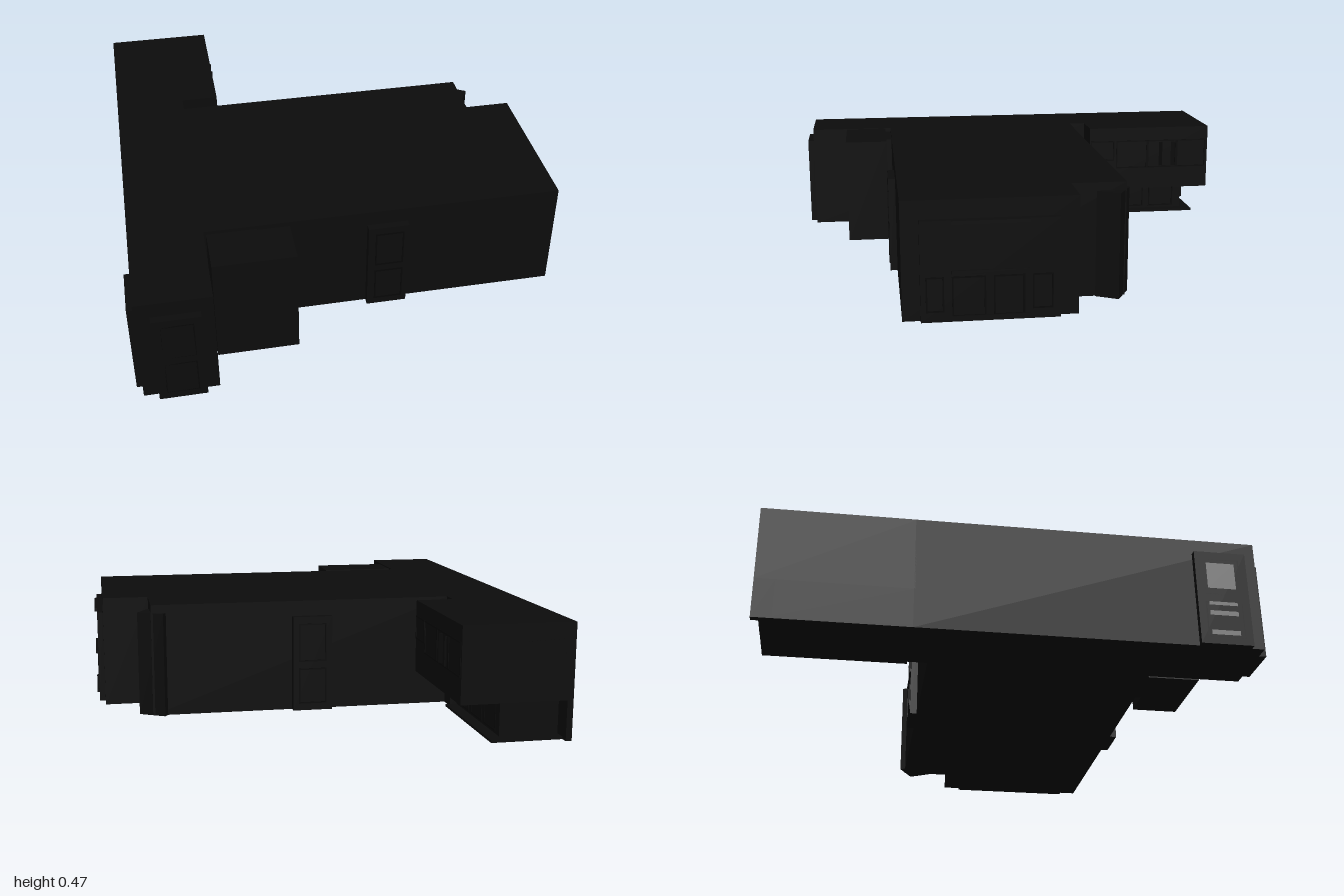
import * as THREE from 'three';

export function createModel() {
  const model = new THREE.Group();
  const mat = (name, color) => {
    const m = new THREE.MeshStandardMaterial({ color });
    m.name = name;
    return m;
  };
  const wall = mat('blackWall', 0x0c0c0c);
  const trim = mat('darkTrim', 0x060606);
  const glass = mat('greyGlass', 0x7c7c7c);

  // Box given by its minimum and maximum on each axis
  function block(name, x0, x1, y0, y1, z0, z1, material = wall) {
    const mesh = new THREE.Mesh(new THREE.BoxGeometry(x1 - x0, y1 - y0, z1 - z0), material);
    mesh.position.set((x0 + x1) / 2, (y0 + y1) / 2, (z0 + z1) / 2);
    mesh.name = name;
    model.add(mesh);
    return mesh;
  }

  // Thin rectangular frame; u runs along the wall, side is the facing direction
  function frame(name, axis, plane, side, u0, u1, y0, y1, material = trim) {
    const w = u1 - u0, h = y1 - y0, t = 0.006;
    const s = new THREE.Shape();
    s.moveTo(-w / 2, -h / 2).lineTo(w / 2, -h / 2).lineTo(w / 2, h / 2).lineTo(-w / 2, h / 2);
    const hole = new THREE.Path();
    hole.moveTo(-w / 2 + t, -h / 2 + t).lineTo(-w / 2 + t, h / 2 - t)
      .lineTo(w / 2 - t, h / 2 - t).lineTo(w / 2 - t, -h / 2 + t);
    s.holes.push(hole);
    const mesh = new THREE.Mesh(new THREE.ExtrudeGeometry(s, { depth: 0.003, bevelEnabled: false }), material);
    const u = (u0 + u1) / 2, y = (y0 + y1) / 2;
    if (axis === 'x') {
      mesh.position.set(plane, y, u);
      mesh.rotation.y = side * Math.PI / 2;
    } else {
      mesh.position.set(u, y, plane);
      mesh.rotation.y = side > 0 ? 0 : Math.PI;
    }
    mesh.name = name;
    model.add(mesh);
  }

  const H = 0.475;

  // Main masses, stepped at the back corner
  block('longWing', -0.9, -0.6, 0, H, -0.4, 0.97);
  block('mainHall', -0.6, 0.69, 0, H, -0.32, 0.59);
  block('sideHall', 0.69, 0.885, 0, H, -0.095, 0.59);

  // Back wing: wide upper storey over a recessed ground floor
  block('backUpperStorey', -0.9, -0.44, 0.165, H, -1, -0.395);
  block('backLowerStorey', -0.9, -0.63, 0.01, 0.165, -0.92, -0.4);
  block('backFloor', -0.9, -0.58, 0, 0.01, -0.97, -0.4);
  block('backSideWall', -0.9, -0.875, 0, 0.165, -1, -0.92);

  // Front annex and its link to the hall
  block('frontAnnex', -0.59, -0.255, 0, H, 0.615, 0.805);
  block('annexLink', -0.59, -0.385, 0, 0.46, 0.59, 0.615);

  // Projecting bays
  block('frontBay', 0.07, 0.24, 0, 0.41, 0.59, 0.62);
  block('backBay', -0.08, 0.09, 0, 0.41, -0.35, -0.32);
  block('wingEndBay', -0.84, -0.65, 0, 0.41, 0.97, 1);
  block('wingSideBay', -0.925, -0.9, 0, 0.41, 0.71, 0.92);
  block('sideBay', 0.885, 0.91, 0, 0.4, -0.02, 0.52);
  for (const y of [0.01, 0.19, 0.385]) block('sideLedge', 0.91, 0.92, y, y + 0.015, 0.1, 0.4);

  // Angled bay in the stepped corner
  const corner = block('cornerBay', 0.62, 0.74, 0, 0.44, -0.325, -0.225);
  corner.position.set(0.668, 0.22, -0.27);
  corner.rotation.y = -0.51;

  // Window and door frames
  for (const [y0, y1] of [[0.03, 0.185], [0.215, 0.38]]) {
    frame('frontBayWindow', 'z', 0.62, 1, 0.1, 0.22, y0, y1);
    frame('backBayWindow', 'z', -0.35, -1, -0.055, 0.065, y0, y1);
    frame('wingEndWindow', 'z', 1 - 0.003, 1, -0.81, -0.68, y0, y1);
    frame('wingSideWindow', 'x', -0.922, -1, 0.74, 0.89, y0, y1);
  }
  for (const [z0, z1, y] of [[0.01, 0.09, 0.04], [0.12, 0.24, 0.02], [0.27, 0.4, 0.02], [0.43, 0.5, 0.04]]) {
    frame('sideWindow', 'x', 0.91, 1, z0, z1, y, 0.18);
  }
  for (const [z0, z1, y] of [[-0.52, -0.4, 0.31], [-0.69, -0.53, 0.27], [-0.84, -0.69, 0.27], [-0.99, -0.84, 0.27]]) {
    frame('backWingWindow', 'x', -0.44, 1, z0, z1, y, 0.41);
  }
  for (const x of [-0.86, -0.67]) frame('backEndWindow', 'z', -0.997, -1, x, x + 0.17, 0.27, 0.41);
  for (let i = 0; i < 3; i++) {
    const z = -0.88 + i * 0.16;
    frame('groundWindow', 'x', -0.63, 1, z, z + 0.13, 0.02, 0.14);
  }

  // Open shutters on the back wing
  for (const s of [-1, 1]) {
    const shutter = block('shutter', -0.45, -0.425, 0.28, 0.4, -0.793, -0.787);
    shutter.position.z = -0.79 + s * 0.03;
    shutter.rotation.y = -s * 0.9;
  }

  // Pale panes on the wing side bay
  for (const [y0, y1] of [[0.245, 0.36], [0.17, 0.185], [0.125, 0.145], [0.04, 0.06]]) {
    block('palePane', -0.926, -0.924, y0, y1, 0.755, 0.87, glass);
  }
  return model;
}
